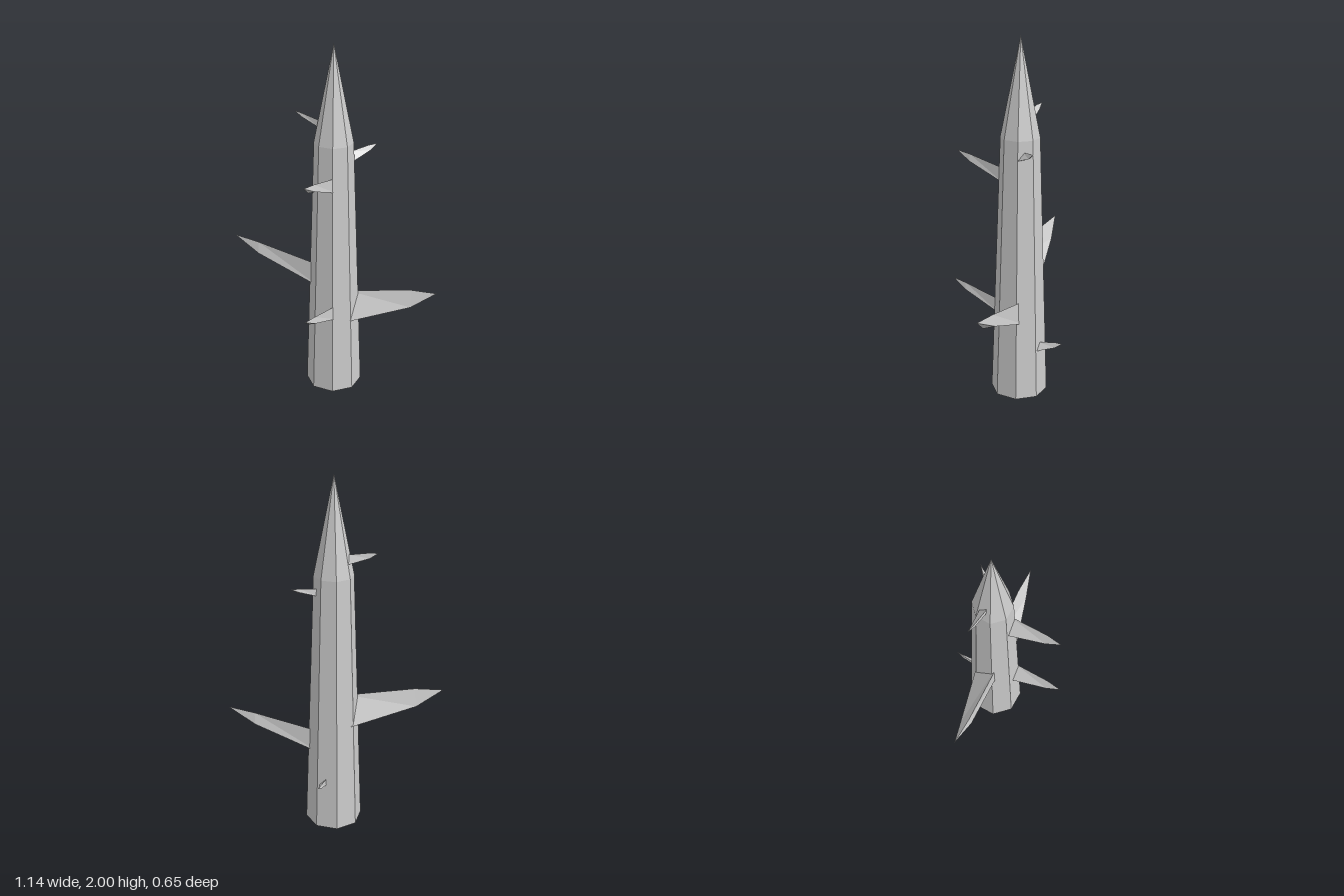
import * as THREE from 'three';

const material = new THREE.MeshStandardMaterial({ color: 0xcccccc, flatShading: true });

// Three-sided thorn, bulging at mid-length and swept up and sideways.
// Local axes: +x away from the stem, +y up; the lower corner of the root is the origin.
function thornGeometry() {
  const root = [[0, 0.125, 0.005], [-0.025, -0.006, 0.12], [0, 0, 0]];
  const middle = [[0.295, 0.19, 0.103], [0.295, 0.108, 0.153], [0.295, 0.125, 0.09]];
  const tip = [0.435, 0.205, 0.163];
  // continue the root into the stem
  const inner = root.map((p, i) => p.map((v, k) => v - 0.2 * (middle[i][k] - v)));
  const positions = [];
  for (let i = 0; i < 3; i++) {
    const j = (i + 1) % 3;
    positions.push(...inner[i], ...inner[j], ...middle[j]);
    positions.push(...inner[i], ...middle[j], ...middle[i]);
    positions.push(...middle[i], ...middle[j], ...tip);
  }
  positions.push(...inner[2], ...inner[1], ...inner[0]);
  const geometry = new THREE.BufferGeometry();
  geometry.setAttribute('position', new THREE.Float32BufferAttribute(positions, 3));
  geometry.computeVertexNormals();
  return geometry;
}

export function createModel() {
  const group = new THREE.Group();
  group.name = 'thornyStem';

  // Eight-sided tapering stem with a pointed top
  const profile = [[0, 0], [0.157, 0], [0.106, 1.47], [0, 2]];
  const stem = new THREE.Mesh(
    new THREE.LatheGeometry(profile.map(([r, y]) => new THREE.Vector2(r, y)), 8),
    material
  );
  stem.name = 'stem';
  stem.position.z = -0.07;
  group.add(stem);

  // Thorns: name, root position, heading in degrees from +x towards +z, scale
  const thorns = [
    ['largeLeftThorn', [0.135, 0.452, -0.085], 0, 1],
    ['largeRightThorn', [-0.135, 0.64, -0.055], 180, 1],
    ['lowerFrontThorn', [0, 0.475, 0.08], 98, 0.6],
    ['upperFrontThorn', [0, 1.23, 0.047], 98, 0.6],
    ['smallLeftThorn', [0.099, 1.373, -0.107], -43, 0.3],
    ['smallRightThorn', [-0.092, 1.548, -0.095], 189, 0.3],
    ['smallBackThorn', [0.057, 0.278, -0.196], -85, 0.3],
  ];
  const geometry = thornGeometry();
  for (const [name, position, heading, scale] of thorns) {
    const thorn = new THREE.Mesh(geometry, material);
    thorn.name = name;
    thorn.position.set(...position);
    thorn.rotation.y = -THREE.MathUtils.degToRad(heading);
    thorn.scale.setScalar(scale);
    group.add(thorn);
  }
  return group;
}
